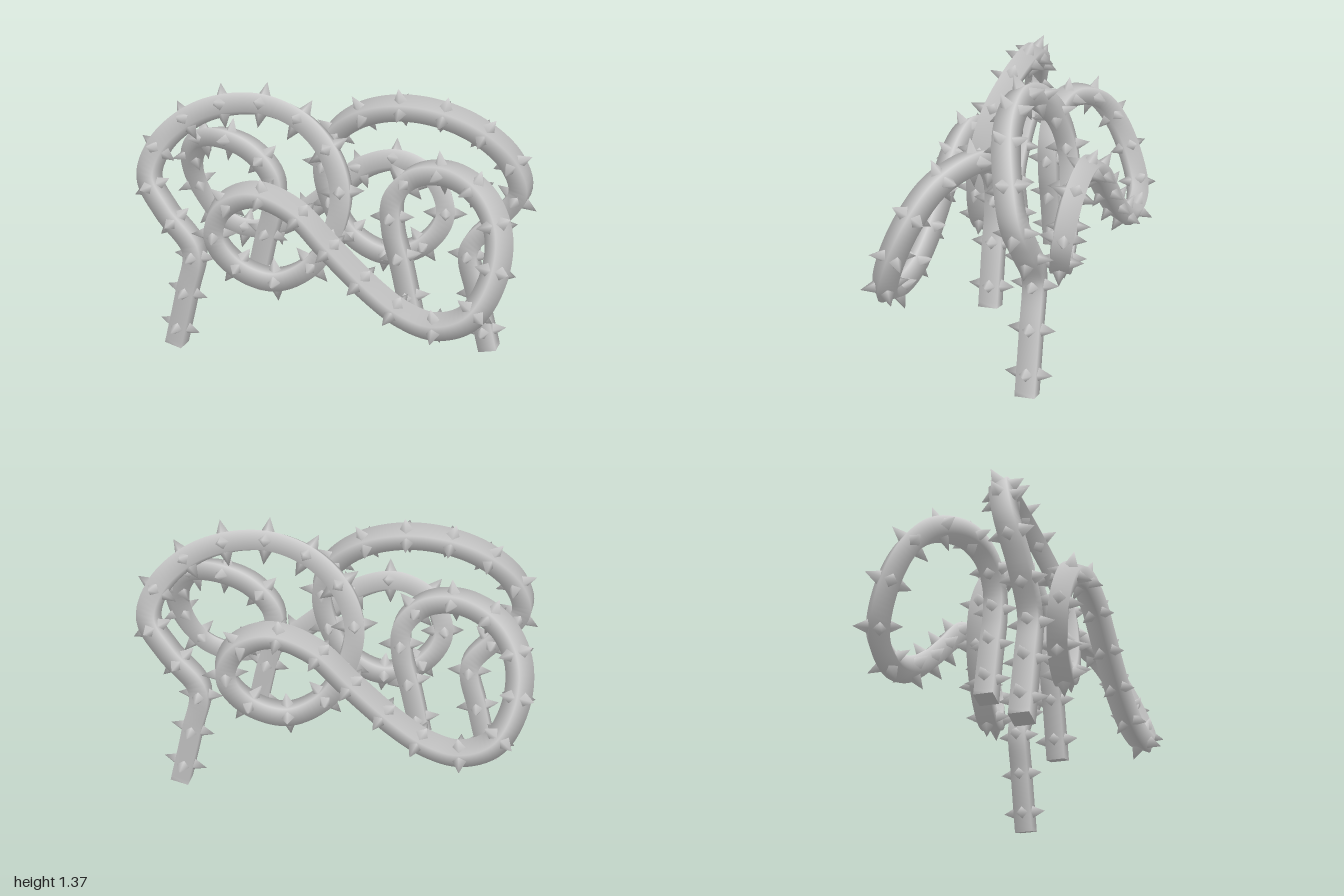
import * as THREE from 'three';
import { mergeVertices } from 'three/addons/utils/BufferGeometryUtils.js';

const HALF = 0.046; // half width of the square stem
const SPIKE_BASE = 0.041;
const SPIKE_TIP = 0.112;
const SPIKE_STEP = 0.203;
const STEPS_PER_RING = 8;

// Centre line of one strand: outer leg, big arch, small loop, long diagonal, end loop, inner leg
const PATH = [
  [-0.76, 0.01, 0.235], [-0.685, 0.31, 0.235], [-0.64, 0.54, 0.235], [-0.785, 0.725, 0.233],
  [-0.88, 0.88, 0.21], [-0.83, 1.04, 0.17], [-0.68, 1.18, 0.12], [-0.5, 1.25, 0.095],
  [-0.3, 1.262, 0.087], [-0.1, 1.2, 0.11], [0.05, 1.07, 0.155], [0.113, 0.9, 0.19],
  [0.075, 0.7, 0.215], [-0.02, 0.54, 0.23], [-0.2, 0.447, 0.255], [-0.39, 0.51, 0.285],
  [-0.485, 0.66, 0.32], [-0.42, 0.83, 0.345], [-0.25, 0.912, 0.36], [-0.05, 0.855, 0.372],
  [0.12, 0.705, 0.382], [0.33, 0.53, 0.395], [0.49, 0.437, 0.41], [0.65, 0.41, 0.425],
  [0.8, 0.475, 0.413], [0.885, 0.65, 0.345], [0.88, 0.83, 0.262], [0.785, 0.965, 0.18],
  [0.6, 1.022, 0.085], [0.43, 0.98, 0.045], [0.325, 0.86, 0.04], [0.325, 0.7, 0.04],
  [0.37, 0.53, 0.04], [0.43, 0.265, 0.04],
];

const grey = new THREE.MeshStandardMaterial({ color: 0xcccccc });
const greyDouble = new THREE.MeshStandardMaterial({ color: 0xcccccc, side: THREE.DoubleSide });

// Four corners of the square section at one step
function section(curve, frames, step) {
  const centre = curve.getPointAt(step / (frames.tangents.length - 1));
  return [[1, 1], [-1, 1], [-1, -1], [1, -1]].map(([a, b]) => centre.clone()
    .addScaledVector(frames.normals[step], a * HALF)
    .addScaledVector(frames.binormals[step], b * HALF));
}

// Square stem with soft edges, swept along the curve
function stem(curve, frames, steps) {
  const points = [];
  const index = [];
  for (let i = 0; i <= steps; i++) points.push(...section(curve, frames, i));
  for (let i = 0; i < steps; i++) {
    for (let k = 0; k < 4; k++) {
      const a = i * 4 + k;
      const b = i * 4 + (k + 1) % 4;
      index.push(a, b, a + 4, b, b + 4, a + 4);
    }
  }
  const geometry = new THREE.BufferGeometry().setFromPoints(points);
  geometry.setIndex(index);
  geometry.computeVertexNormals();
  const mesh = new THREE.Mesh(geometry, greyDouble);
  mesh.name = 'stem';
  return mesh;
}

// Flat square closing one end
function endCap(curve, frames, step) {
  const geometry = new THREE.BufferGeometry().setFromPoints(section(curve, frames, step));
  geometry.setIndex(step === 0 ? [0, 2, 1, 0, 3, 2] : [0, 1, 2, 0, 2, 3]);
  geometry.computeVertexNormals();
  const cap = new THREE.Mesh(geometry, greyDouble);
  cap.name = 'endCap';
  return cap;
}

// Four-sided spike with one shared tip, so its shading is soft
function spikeGeometry() {
  const height = SPIKE_TIP - SPIKE_BASE;
  const cone = new THREE.ConeGeometry(0.034, height, 4, 1, true);
  cone.translate(0, SPIKE_BASE + height / 2, 0);
  cone.deleteAttribute('normal');
  cone.deleteAttribute('uv');
  const merged = mergeVertices(cone);
  merged.computeVertexNormals();
  return merged;
}

// Rings of four spikes, one on each flat of the stem
function spikeRings(curve, frames, steps) {
  const group = new THREE.Group();
  group.name = 'spikes';
  const geometry = spikeGeometry();
  for (let step = STEPS_PER_RING / 2; step < steps; step += STEPS_PER_RING) {
    const tangent = frames.tangents[step];
    const normal = frames.normals[step];
    const binormal = frames.binormals[step];
    for (const out of [normal, binormal, normal.clone().negate(), binormal.clone().negate()]) {
      const side = new THREE.Vector3().crossVectors(tangent, out);
      const spike = new THREE.Mesh(geometry, grey);
      spike.name = 'spike';
      spike.quaternion.setFromRotationMatrix(new THREE.Matrix4().makeBasis(tangent, out, side));
      spike.position.copy(curve.getPointAt(step / steps));
      group.add(spike);
    }
  }
  return group;
}

function strand(name) {
  const group = new THREE.Group();
  group.name = name;
  const curve = new THREE.CatmullRomCurve3(PATH.map((p) => new THREE.Vector3(...p)), false, 'centripetal');
  curve.arcLengthDivisions = 800;
  const steps = Math.round(curve.getLength() / SPIKE_STEP) * STEPS_PER_RING;
  const frames = curve.computeFrenetFrames(steps, false);
  group.add(
    stem(curve, frames, steps),
    endCap(curve, frames, 0),
    endCap(curve, frames, steps),
    spikeRings(curve, frames, steps),
  );
  return group;
}

export function createModel() {
  const model = new THREE.Group();
  model.name = 'thornyVines';
  // The second strand is the first turned half way round
  const front = strand('frontVine');
  const back = strand('backVine');
  back.rotation.y = Math.PI;
  model.add(front, back);
  return model;
}
